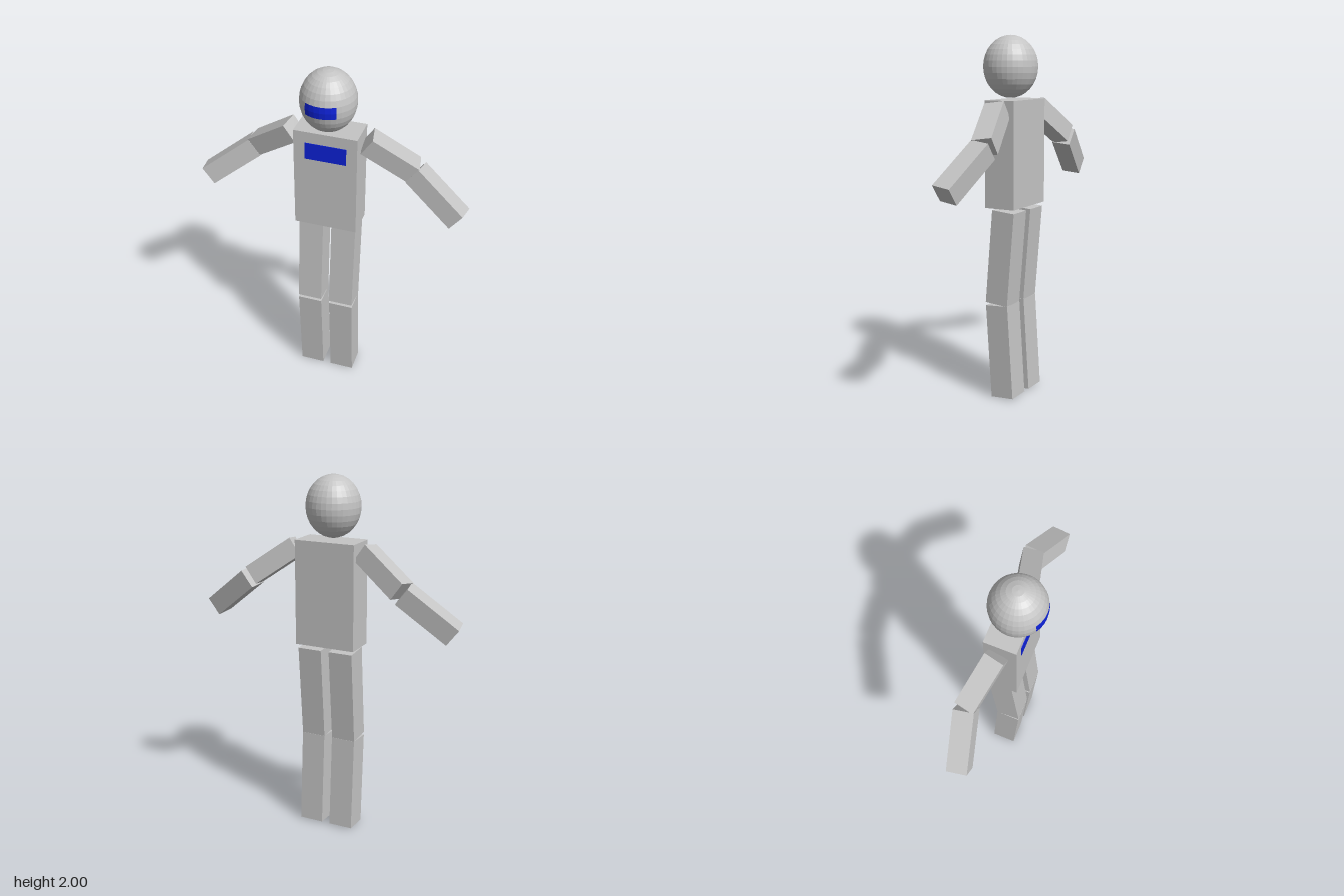
import * as THREE from 'three';

const grey = new THREE.MeshStandardMaterial({ color: 0xc4c4c4, flatShading: true });
grey.name = 'grey';
const blue = new THREE.MeshStandardMaterial({ color: 0x0d22d8, flatShading: true });
blue.name = 'blue';

const rad = THREE.MathUtils.degToRad;

function add(parent, name, geometry, material, position, rotation = [0, 0, 0]) {
  const mesh = new THREE.Mesh(geometry, material);
  mesh.name = name;
  mesh.position.set(...position);
  // turn about the limb's own axis first, then tilt it sideways
  mesh.rotation.set(...rotation.map(rad), 'ZYX');
  parent.add(mesh);
  return mesh;
}

const box = (w, h, d) => new THREE.BoxGeometry(w, h, d);

export function createModel() {
  const model = new THREE.Group();
  model.name = 'blockFigure';

  // Torso with chest panel
  add(model, 'torso', box(0.346, 0.58, 0.176), grey, [0, 1.367, -0.026]);
  add(model, 'chestPanel', box(0.226, 0.096, 0.006), blue, [0.002, 1.545, 0.062]);

  // Egg-shaped head; the visor is a patch of six by two facets on its front
  const head = new THREE.Group();
  head.name = 'head';
  head.position.set(0, 1.832, 0.002);
  head.scale.set(0.149, 0.168, 0.149);
  model.add(head);
  const step = Math.PI / 16;
  add(head, 'skull', new THREE.SphereGeometry(1, 32, 16), grey, [0, 0, 0]);
  add(head, 'visor', new THREE.SphereGeometry(1.008, 6, 2,
    Math.PI / 2 - 3 * step, 6 * step, Math.PI / 2 - step, 2 * step), blue, [0, 0, 0]);

  // Arms and legs, mirrored
  for (const s of [1, -1]) {
    const side = s > 0 ? 'left' : 'right';
    add(model, side + 'UpperArm', box(0.3, 0.109, 0.109), grey,
      [s * 0.32, 1.523, -0.065], [0, s * 13, -s * 35.3]);
    add(model, side + 'Forearm', box(0.335, 0.109, 0.11), grey,
      [s * 0.579, 1.327, -0.066], [0, -s * 10.4, -s * 37.5]);
    add(model, side + 'Thigh', box(0.137, 0.522, 0.135), grey,
      [s * 0.0925, 0.8, -0.02], [-4.7, 0, 0]);
    add(model, side + 'Shin', box(0.137, 0.528, 0.135), grey,
      [s * 0.0925, 0.268, -0.017], [3.7, 0, 0]);
  }
  return model;
}
